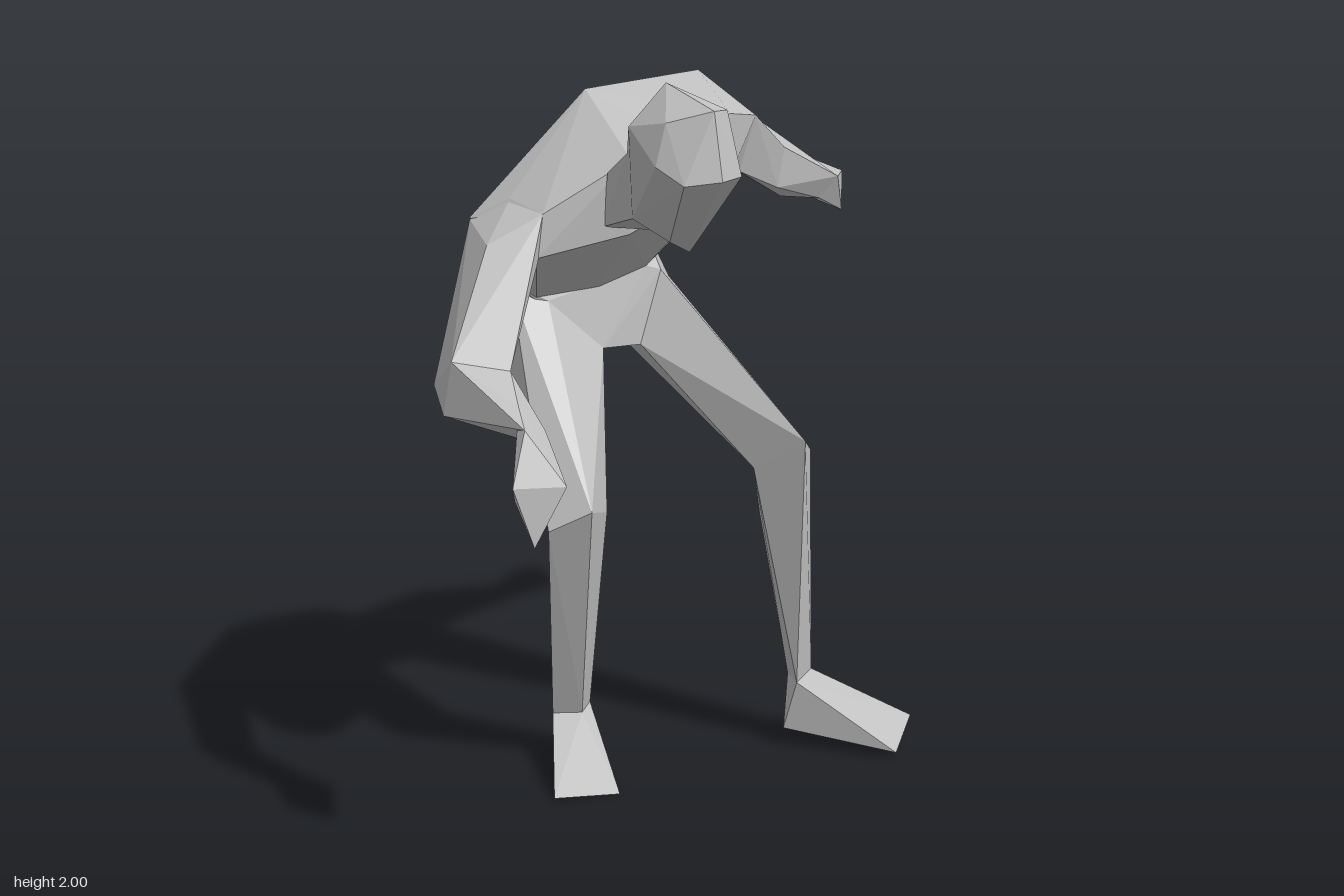
import * as THREE from 'three';
import { ConvexGeometry } from 'three/addons/geometries/ConvexGeometry.js';

const skin = new THREE.MeshStandardMaterial({ color: 0xc0c0c0, flatShading: true });
skin.name = 'plain grey';

export function createModel() {
  const figure = new THREE.Group();
  figure.name = 'bendingFigure';

  // A faceted body part: the solid stretched between its cross-sections
  const part = (name, ...rings) => {
    const points = rings.flat().map((p) => new THREE.Vector3(...p));
    const mesh = new THREE.Mesh(new ConvexGeometry(points), skin);
    mesh.name = name;
    figure.add(mesh);
  };
  // A limb: neighbouring cross-sections are joined one segment after another
  const limb = (names, rings) =>
    names.forEach((name, i) => part(name, rings[i], rings[i + 1]));

  // Trunk, leaning forward
  const waist = [
    [-0.34, 1.55, -0.54], [-0.185, 1.57, -0.56], [0, 1.57, -0.55], [0.045, 1.53, -0.42],
    [0.01, 1.395, -0.3], [-0.13, 1.34, -0.32], [-0.325, 1.34, -0.3], [-0.39, 1.385, -0.31],
  ];
  const shoulders = [
    [0.045, 1.955, -0.07], [-0.3, 1.93, -0.04], [-0.61, 1.62, -0.08], [-0.535, 1.675, 0],
    [0.01, 1.87, 0.16], [-0.16, 1.82, 0.2], [-0.29, 1.78, 0.19], [-0.5, 1.65, 0.12],
    [-0.52, 1.54, 0.12], [-0.29, 1.59, 0.18], [-0.16, 1.65, 0.19], [0.01, 1.71, 0.16],
    [0.13, 1.69, 0], [0.18, 1.835, 0],
  ];
  part('torso', shoulders, waist);

  // Hips
  const leftHip = [
    [0.055, 1.38, -0.3], [0.145, 1.33, -0.42], [0.04, 1.23, -0.57],
    [-0.02, 1.18, -0.28], [0.03, 1.14, -0.45],
  ];
  const rightHip = [
    [-0.385, 1.37, -0.33], [-0.295, 1.33, -0.29], [-0.14, 1.185, -0.27],
    [-0.16, 1.14, -0.46], [-0.27, 1.22, -0.57], [-0.39, 1.3, -0.46],
  ];
  part('pelvis', waist, [
    ...leftHip.slice(0, 4), ...rightHip.slice(0, 3), ...rightHip.slice(4),
    [-0.12, 1.29, -0.62], [0.02, 1.32, -0.58],
  ]);

  // Legs, from hip to toes
  const leftKnee = [
    [0.3, 0.945, 0.075], [0.4, 0.875, -0.06], [0.21, 0.85, -0.05], [0.32, 0.77, -0.12],
  ];
  const leftAnkle = [[0.34, 0.2, -0.02], [0.435, 0.2, -0.095], [0.37, 0.19, -0.12]];
  part('leftThigh', leftHip, leftKnee, [[0.195, 1.2, -0.45]]);
  part('leftShin', leftKnee, leftAnkle, [[0.31, 0.665, -0.185]]);
  part('leftFoot', leftAnkle, [
    [0.545, 0.02, 0.19], [0.69, 0.055, 0.045], [0.4, 0.075, -0.175], [0.315, 0.055, -0.05],
  ]);

  const rightKnee = [
    [-0.41, 0.755, -0.07], [-0.31, 0.81, -0.01], [-0.215, 0.77, -0.11], [-0.3, 0.755, -0.17],
  ];
  const rightAnkle = [
    [-0.305, 0.14, -0.285], [-0.23, 0.14, -0.25], [-0.18, 0.145, -0.3], [-0.25, 0.13, -0.36],
  ];
  part('rightThigh', rightHip, rightKnee);
  part('rightShin', rightKnee, rightAnkle, [[-0.28, 0.645, -0.28]]);
  part('rightFoot', rightAnkle, [
    [-0.43, 0.01, -0.02], [-0.25, 0, 0.02], [-0.16, 0.005, -0.37], [-0.25, 0.005, -0.385],
  ]);

  // Left arm, swept out and back
  limb(['leftUpperArm', 'leftForearm', 'leftHand'], [
    [[0.045, 1.95, -0.07], [0.14, 1.875, -0.12], [0.18, 1.835, 0], [0.13, 1.69, 0],
      [0.08, 1.74, -0.15]],
    [[0.405, 1.77, -0.4], [0.415, 1.7, -0.24], [0.39, 1.59, -0.235], [0.46, 1.545, -0.335],
      [0.42, 1.67, -0.4]],
    [[0.63, 1.625, -0.445], [0.69, 1.575, -0.395], [0.63, 1.515, -0.4], [0.63, 1.53, -0.45]],
    [[0.79, 1.565, -0.53], [0.73, 1.575, -0.59], [0.765, 1.455, -0.49], [0.73, 1.475, -0.58],
      [0.81, 1.5, -0.655]],
  ]);

  // Right arm, hanging forward
  limb(['rightUpperArm', 'rightForearm', 'rightHand'], [
    [[-0.61, 1.615, -0.08], [-0.535, 1.67, 0], [-0.64, 1.58, 0.09], [-0.5, 1.65, 0.12],
      [-0.515, 1.535, 0.12], [-0.5, 1.48, 0], [-0.59, 1.51, -0.07]],
    [[-0.79, 1.325, 0.2], [-0.66, 1.3, 0.26], [-0.71, 1.22, 0.16], [-0.81, 1.19, 0.19],
      [-0.8, 1.25, 0.11]],
    [[-0.7, 1.245, 0.39], [-0.715, 1.205, 0.455], [-0.635, 1.18, 0.4], [-0.7, 1.165, 0.375]],
    [[-0.77, 1.08, 0.5], [-0.65, 1.08, 0.545], [-0.63, 1.03, 0.41], [-0.72, 1.015, 0.4],
      [-0.73, 0.935, 0.53]],
  ]);

  // Neck and head, thrust forward
  const nape = [[-0.37, 1.82, 0.325], [-0.175, 1.84, 0.325], [-0.36, 1.66, 0.33], [-0.19, 1.61, 0.325]];
  part('neck', nape,
    [[-0.35, 1.75, 0.18], [-0.17, 1.82, 0.18], [-0.35, 1.61, 0.15], [-0.17, 1.64, 0.17],
      [-0.26, 1.605, 0.17]]);
  part('head', nape, [
    [-0.325, 2, 0.44], [-0.3, 1.94, 0.38], [-0.29, 1.95, 0.61], [-0.29, 1.79, 0.65],
    [-0.415, 1.9, 0.42], [-0.38, 1.92, 0.54], [-0.41, 1.82, 0.545], [-0.37, 1.78, 0.61],
    [-0.19, 1.92, 0.42], [-0.215, 1.94, 0.54], [-0.185, 1.79, 0.5], [-0.21, 1.79, 0.6],
    [-0.22, 1.57, 0.365], [-0.3, 1.61, 0.41],
  ]);

  return figure;
}
